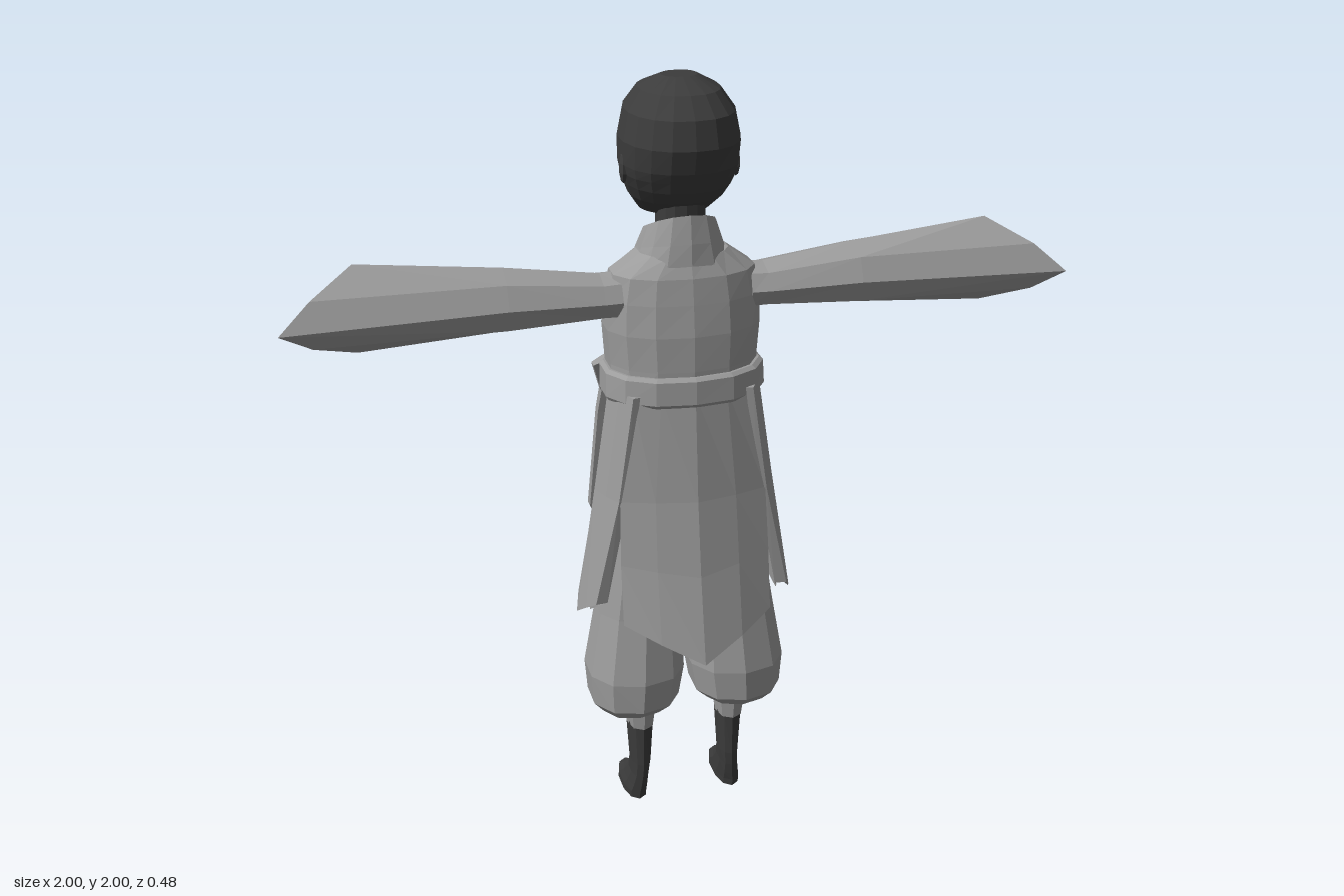
import * as THREE from 'three';

const paint = (name, color) => Object.assign(new THREE.MeshStandardMaterial({ color }), { name });
const V = (x, y, z) => new THREE.Vector3(x, y, z);
const mix = THREE.MathUtils.lerp;

// Skins closed rings of points, caps both ends, faces outward, flat facets
function loft(rings) {
  const n = rings[0].length, pts = rings.flat(), idx = [];
  for (let r = 0; r < rings.length - 1; r++) {
    for (let i = 0; i < n; i++) {
      const a = r * n + i, b = r * n + (i + 1) % n;
      idx.push(a, b, b + n, a, b + n, a + n);
    }
  }
  [0, rings.length - 1].forEach((r, end) => {
    const c = pts.length;
    pts.push(rings[r].reduce((s, p) => s.add(p), V(0, 0, 0)).divideScalar(n));
    for (let i = 0; i < n; i++) {
      const a = r * n + i, b = r * n + (i + 1) % n;
      if (end) idx.push(c, a, b); else idx.push(c, b, a);
    }
  });
  let volume = 0;
  for (let i = 0; i < idx.length; i += 3) {
    volume += pts[idx[i]].dot(pts[idx[i + 1]].clone().cross(pts[idx[i + 2]]));
  }
  if (volume < 0) idx.reverse();
  const geo = new THREE.BufferGeometry().setFromPoints(pts);
  geo.setIndex(idx);
  const flat = geo.toNonIndexed();
  flat.computeVertexNormals();
  return flat;
}

// Horizontal oval: half width, rear z, face-side z, centre x, forward drop
function oval(y, rx, zb, zf, cx = 0, drop = 0, n = 14) {
  return Array.from({ length: n }, (_, i) => {
    const a = (i / n) * Math.PI * 2, c = Math.cos(a), s = Math.sin(a);
    const k = (v) => Math.sign(v) * Math.abs(v) ** 0.9;
    return V(cx + rx * k(s), y - drop * (1 - c) / 2, (zb + zf) / 2 + (zb - zf) / 2 * k(c));
  });
}

// Thick cloth panel; rows are [edge y, half width, edge depth, centre y, centre depth]
function panel(rows, place) {
  return loft(rows.map(([ye, w, de, yc, dc]) => {
    const row = (k) => [-1, -0.55, 0, 0.55, 1].map((t) => {
      const a = Math.abs(t);
      return place(t * w * (k < 1 ? 0.96 : 1), mix(yc, ye, a), mix(dc, de, a ** 1.4) * k);
    });
    return [...row(1), ...row(0.88).reverse()];
  }));
}

// Flat strip along a path, turned in the xy plane; path points are [x, y, z, half width]
function strip(path, thick) {
  return loft(path.map(([x, y, z, w], i) => {
    const p = path[Math.max(i - 1, 0)], q = path[Math.min(i + 1, path.length - 1)];
    const l = Math.hypot(q[0] - p[0], q[1] - p[1]);
    const ux = -(q[1] - p[1]) / l * w, uy = (q[0] - p[0]) / l * w;
    return [V(x + ux, y + uy, z + thick), V(x + ux, y + uy, z),
      V(x, y, z - thick * 0.6), V(x - ux, y - uy, z), V(x - ux, y - uy, z + thick)];
  }));
}

// Ring across an arm: centre, half height, half depth
const armRing = (x, y, z, ry, rz, n = 6) => Array.from({ length: n }, (_, i) => {
  const a = (i / n) * Math.PI * 2;
  return V(x, y + ry * Math.sin(a), z + rz * Math.cos(a));
});

export function createModel() {
  const cloth = paint('grey cloth', 0x9c9c9c);
  const dark = paint('dark charcoal', 0x3c3c3c);
  const gold = paint('gold', 0xd9942e);
  const model = new THREE.Group();
  const add = (name, geo, mat) => {
    const mesh = new THREE.Mesh(geo, mat);
    mesh.name = name;
    model.add(mesh);
    return mesh;
  };

  // Head with brow and recessed eye line
  add('head', loft([
    [1.645, 0.05, -0.09, -0.18], [1.66, 0.09, -0.01, -0.2], [1.7, 0.117, 0.05, -0.212],
    [1.735, 0.132, 0.085, -0.218], [1.765, 0.142, 0.1, -0.2], [1.79, 0.147, 0.115, -0.213],
    [1.85, 0.149, 0.132, -0.217], [1.92, 0.135, 0.12, -0.205], [1.97, 0.1, 0.075, -0.16],
    [2.0, 0.045, 0, -0.08],
  ].map(([y, rx, b, f]) => oval(y, rx, b, f, 0, 0, 18))), dark);
  add('neck', loft([oval(1.5, 0.065, 0.04, -0.09), oval(1.7, 0.06, 0.04, -0.09)]), dark);

  // Tunic body, collar and belt
  add('torso', loft([
    [1.2, 0.19, 0.12, -0.13], [1.29, 0.195, 0.122, -0.17], [1.38, 0.202, 0.12, -0.165],
    [1.46, 0.198, 0.11, -0.145], [1.525, 0.185, 0.1, -0.125], [1.575, 0.115, 0.08, -0.1],
  ].map((r) => oval(...r))), cloth);
  add('collar', loft([
    oval(1.555, 0.127, 0.092, -0.155, 0, 0.08), oval(1.61, 0.108, 0.088, -0.165, 0, 0.07),
    oval(1.68, 0.088, 0.078, -0.145, 0, 0.1), oval(1.675, 0.075, 0.062, -0.128, 0, 0.1),
    oval(1.58, 0.085, 0.065, -0.125, 0, 0.06),
  ]), cloth);
  add('belt', loft([
    oval(1.2, 0.205, 0.132, -0.15), oval(1.21, 0.212, 0.14, -0.16),
    oval(1.27, 0.21, 0.138, -0.17), oval(1.278, 0.2, 0.128, -0.165),
  ]), cloth);

  // Long skirt in four panels, open below the slits
  add('rearSkirt', panel([
    [1.23, 0.155, 0.1, 1.23, 0.13], [0.95, 0.192, 0.108, 0.95, 0.158],
    [0.78, 0.197, 0.13, 0.75, 0.19], [0.62, 0.197, 0.155, 0.52, 0.24],
  ], (t, y, d) => V(t, y, d)), cloth);
  add('faceSideSkirt', panel([
    [1.23, 0.155, 0.1, 1.23, 0.13], [0.95, 0.192, 0.11, 0.95, 0.17],
    [0.78, 0.197, 0.135, 0.75, 0.19], [0.62, 0.197, 0.155, 0.525, 0.23],
  ], (t, y, d) => V(t, y, -d)), cloth);

  // Draped sash loop
  add('sashLoop', strip([
    [-0.18, 1.26, -0.12, 0.035], [-0.15, 1.17, -0.165, 0.037], [-0.09, 1.08, -0.19, 0.038],
    [0, 1.03, -0.205, 0.04], [0.09, 1.08, -0.19, 0.038], [0.15, 1.17, -0.165, 0.037],
    [0.18, 1.26, -0.12, 0.035],
  ], 0.028), cloth);

  for (const s of [-1, 1]) {
    const side = s > 0 ? 'left' : 'right';
    const flip = (ring) => ring.map((p) => V(p.x * s, p.y, p.z));

    add(side + 'Skirt', panel([
      [1.23, 0.1, 0.155, 1.23, 0.197], [0.95, 0.1, 0.195, 0.95, 0.238],
      [0.66, 0.09, 0.258, 0.6, 0.292],
    ], (t, y, d) => V(d * s, y, t + 0.01)), cloth);

    // Baggy trousers, ankle wrap and boot
    add(side + 'Trouser', loft([
      [1.0, 0.085, 0.085, -0.09, 0.09], [0.8, 0.1, 0.1, -0.1, 0.11], [0.6, 0.113, 0.115, -0.105, 0.127],
      [0.42, 0.133, 0.142, -0.13, 0.138], [0.335, 0.122, 0.137, -0.122, 0.142],
      [0.3, 0.09, 0.1, -0.09, 0.145], [0.29, 0.045, 0.06, -0.05, 0.13],
    ].map(([y, rx, b, f, cx]) => oval(y, rx, b, f, cx * s, 0, 10))), cloth);
    add(side + 'AnkleWrap', loft([
      oval(0.31, 0.045, 0.08, -0.055, 0.125 * s, 0, 8), oval(0.24, 0.036, 0.068, -0.05, 0.125 * s, 0, 8),
    ]), cloth);
    add(side + 'Boot', loft([
      [0.25, 0.035, 0.064, -0.048, 0.125], [0.12, 0.027, 0.06, -0.042, 0.125],
      [0.08, 0.026, 0.055, -0.058, 0.127], [0.045, 0.03, 0.048, -0.1, 0.13],
      [0.02, 0.034, 0.042, -0.145, 0.133], [0, 0.034, 0.038, -0.15, 0.133],
    ].map(([y, rx, b, f, cx]) => oval(y, rx, b, f, cx * s, 0, 10))), dark);

    // Wide sleeve with a slanted, hollow opening
    const cuff = [[1.0, 1.46, 0.085], [0.92, 1.53, 0.05], [0.81, 1.59, -0.025], [0.75, 1.55, -0.105],
      [0.71, 1.48, -0.155], [0.75, 1.41, -0.105], [0.81, 1.365, -0.025], [0.92, 1.41, 0.05]]
      .map((p) => V(...p));
    const shrink = (k, dx) => cuff.map((p) => V(p.x + dx, 1.475 + (p.y - 1.475) * k, -0.035 + (p.z + 0.035) * k));
    add(side + 'Sleeve', loft([
      armRing(0.165, 1.465, -0.012, 0.06, 0.075, 8), armRing(0.21, 1.465, -0.012, 0.058, 0.078, 8),
      armRing(0.45, 1.472, -0.02, 0.082, 0.098, 8),
      cuff, shrink(0.86, -0.012), armRing(0.55, 1.475, -0.03, 0.06, 0.075, 8),
    ].map(flip)), cloth);

    // Hand with curled fingers
    add(side + 'Palm', loft([
      armRing(0.54, 1.48, -0.04, 0.03, 0.035), armRing(0.72, 1.485, -0.05, 0.028, 0.035),
      armRing(0.78, 1.49, -0.055, 0.03, 0.052), armRing(0.84, 1.488, -0.055, 0.022, 0.05),
    ].map(flip)), dark);
    for (let i = 0; i < 4; i++) {
      const z = -0.098 + i * 0.028, reach = [0.9, 0.925, 0.92, 0.895][i];
      add(side + 'Finger' + (i + 1), loft([
        armRing(0.82, 1.49, z, 0.016, 0.015), armRing(mix(0.83, reach, 0.6), 1.485, z, 0.015, 0.014),
        armRing(reach, 1.458, z, 0.01, 0.01),
      ].map(flip)), dark);
    }
    add(side + 'Thumb', loft([
      armRing(0.75, 1.478, -0.09, 0.016, 0.016), armRing(0.8, 1.465, -0.112, 0.015, 0.014),
      armRing(0.845, 1.45, -0.115, 0.009, 0.009),
    ].map(flip)), dark);

    // Ear
    const ear = add(side + 'Ear', new THREE.SphereGeometry(0.03, 6, 5).toNonIndexed(), dark);
    ear.geometry.computeVertexNormals();
    ear.scale.set(0.35, 1.3, 0.8);
    ear.position.set(0.142 * s, 1.78, -0.03);

    // Hanging sash end with a gold bead
    const end = s > 0 ? 0.82 : 0.74, zEnd = s > 0 ? -0.195 : -0.215;
    add(side + 'SashEnd', strip([
      [0.14 * s, 1.25, -0.14, 0.035], [0.15 * s, 1.1, -0.165, 0.045],
      [0.155 * s, end + 0.07, zEnd + 0.008, 0.058], [0.165 * s, end, zEnd, 0.02],
    ], 0.03), cloth);
    const bead = add(side + 'Bead', new THREE.OctahedronGeometry(0.028), gold);
    bead.scale.set(0.8, 1.05, 0.8);
    bead.position.set(0.165 * s, end - 0.03, zEnd - 0.005);
  }
  return model;
}
